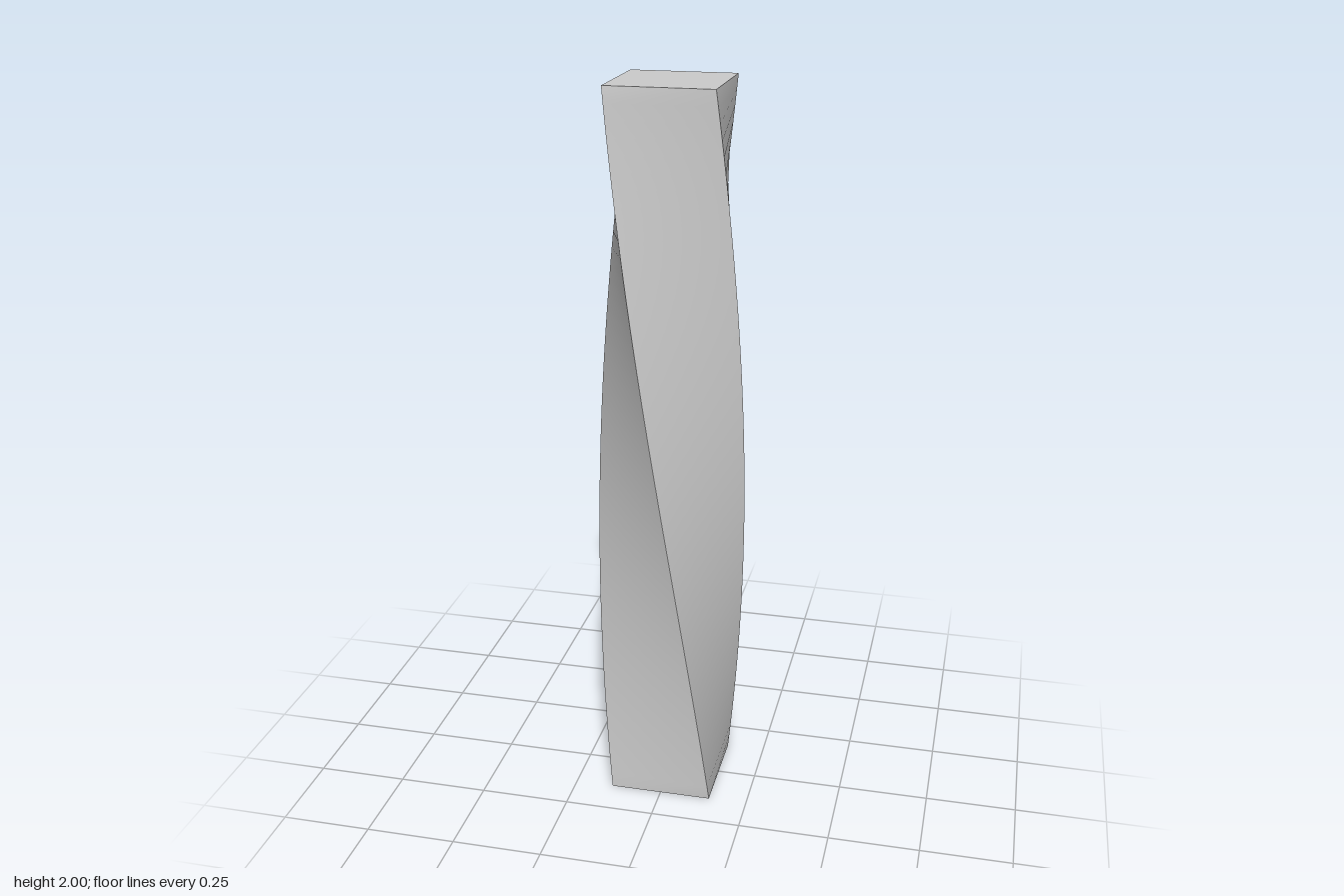
import * as THREE from 'three';

const SIDE = 0.285;
const HEIGHT = 2;
const TWIST = -Math.PI / 2; // quarter turn from bottom to top

export function createModel() {
  const group = new THREE.Group();
  group.name = 'twistedColumn';

  // Square prism, sliced along its height and turned evenly about y
  const geometry = new THREE.BoxGeometry(SIDE, HEIGHT, SIDE, 1, 48, 1);
  geometry.translate(0, HEIGHT / 2, 0);
  const position = geometry.attributes.position;
  const axis = new THREE.Vector3(0, 1, 0);
  const v = new THREE.Vector3();
  for (let i = 0; i < position.count; i++) {
    v.fromBufferAttribute(position, i);
    v.applyAxisAngle(axis, TWIST * v.y / HEIGHT);
    position.setXYZ(i, v.x, v.y, v.z);
  }
  // Sides stay separate, so the four long edges remain sharp
  geometry.computeVertexNormals();

  const shaft = new THREE.Mesh(geometry, new THREE.MeshStandardMaterial({ color: 0xcccccc }));
  shaft.name = 'shaft';
  group.add(shaft);
  return group;
}
